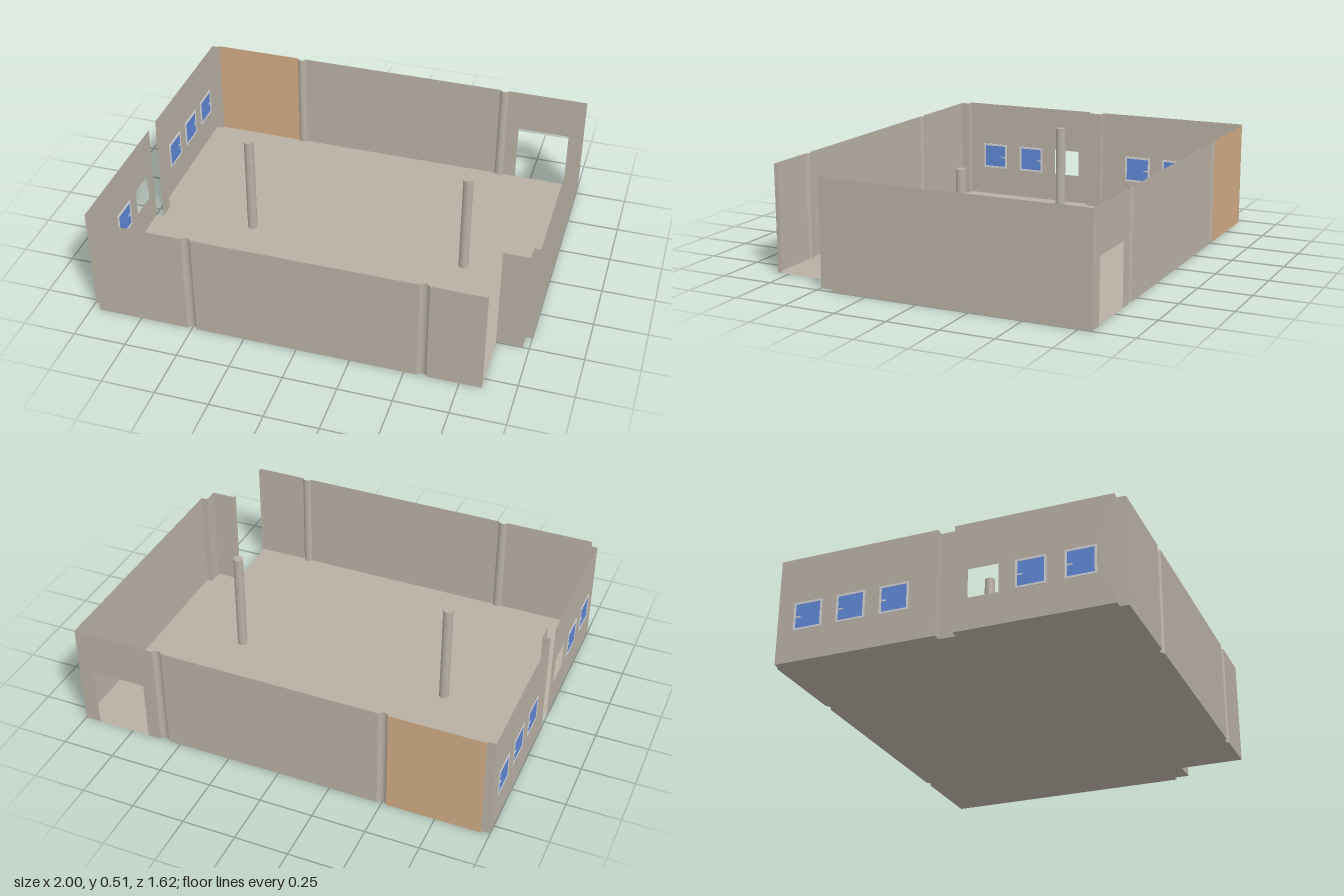
import * as THREE from 'three';

const H = 0.51, ZF = 0.81, XL = -0.997;       // wall height, front/back plane, left wall plane
const R = 0.024, HALF = 0.022, OFF = 0.0096;  // pilaster radius, half chord, centre offset
const COLS = [-0.5, 0.58];                    // column lines along x
const WIN = { y0: 0.15, y1: 0.285, w: 0.14 };

export function createModel() {
  const root = new THREE.Group();
  const plaster = new THREE.MeshStandardMaterial({ color: 0xb8b0a4, side: THREE.DoubleSide });
  plaster.name = 'plaster';
  const orange = new THREE.MeshStandardMaterial({ color: 0xd0ab84, side: THREE.DoubleSide });
  orange.name = 'accentOrange';
  const blue = new THREE.MeshStandardMaterial({ color: 0x5f87d6 });
  blue.name = 'glassBlue';
  const pale = new THREE.MeshStandardMaterial({ color: 0xd2d2d4 });
  pale.name = 'framePale';

  const add = (name, geo, mat, parent = root) => {
    const m = new THREE.Mesh(geo, mat);
    m.name = name;
    parent.add(m);
    return m;
  };

  const rect = (Type, x0, y0, x1, y1) =>
    new Type([[x0, y0], [x1, y0], [x1, y1], [x0, y1]].map(p => new THREE.Vector2(...p)));

  // Thin wall panel between two plan points; holes are [u0, y0, u1, y1]
  const wall = (name, [ax, az], [bx, bz], mat = plaster, holes = []) => {
    const s = rect(THREE.Shape, 0, 0, Math.hypot(bx - ax, bz - az), H);
    for (const h of holes) s.holes.push(rect(THREE.Path, ...h));
    const m = add(name, new THREE.ShapeGeometry(s), mat);
    m.position.set(ax, 0, az);
    m.rotation.y = Math.atan2(az - bz, bx - ax);
  };

  // Floor outline with rounded bites where the pilasters stand
  const ang = Math.asin(HALF / R);
  const bite = (x, s) => Array.from({ length: 9 }, (_, i) => {
    const t = ang * (i / 4 - 1);
    return [x - s * R * Math.sin(t), s * (ZF + OFF - R * Math.cos(t))];
  });
  const outline = [
    [-0.96, -ZF], ...bite(COLS[0], -1), ...bite(COLS[1], -1), [1, -ZF],
    [1, 0.425], [0.97, 0.425], [0.97, 0.497], [0.85, 0.497], [0.85, ZF],
    ...bite(COLS[1], 1), ...bite(COLS[0], 1), [-0.96, ZF],
    [-0.96, 0.77], [XL, 0.77], [XL, 0.05], [-0.96, 0.05],
    [-0.96, -0.03], [XL, -0.03], [XL, -0.8], [-0.96, -0.8],
  ];
  const floorGeo = new THREE.ShapeGeometry(
    new THREE.Shape(outline.map(([x, z]) => new THREE.Vector2(x, -z))));
  add('floor', floorGeo.rotateX(-Math.PI / 2), plaster);

  // Front and back walls, split by the pilasters
  const [c0, c1] = COLS;
  wall('frontWallRight', [-0.96, ZF], [c0 - HALF, ZF]);
  wall('frontWallMiddle', [c0 + HALF, ZF], [c1 - HALF, ZF]);
  wall('frontWallLeft', [c1 + HALF, ZF], [0.85, ZF]);
  wall('backWallAccent', [-0.96, -ZF], [c0 - HALF, -ZF], orange);
  wall('backWallMiddle', [c0 + HALF, -ZF], [c1 - HALF, -ZF]);
  const u = c1 + HALF;
  const s = new THREE.Shape([[0, 0], [0.667 - u, 0], [0.667 - u, 0.295], [0.925 - u, 0.295],
    [0.925 - u, 0], [1 - u, 0], [1 - u, H], [0, H]].map(p => new THREE.Vector2(...p)));
  add('backWallDoorway', new THREE.ShapeGeometry(s), plaster).position.set(u, 0, -ZF);

  // Pilasters bulging inward, and free columns
  for (const x of COLS) {
    for (const side of [1, -1]) {
      const g = new THREE.CylinderGeometry(R, R, H, 12, 1, true, (side > 0 ? Math.PI : 0) - ang, 2 * ang);
      add('pilaster', g, plaster).position.set(x, H / 2, side * (ZF + OFF));
    }
    add('column', new THREE.CylinderGeometry(R, R, H, 24), plaster).position.set(x, H / 2, 0);
  }

  // Closed side wall and the stepped entrance corner
  wall('sideWall', [1, -ZF], [1, 0.425]);
  wall('entranceStepOuter', [1, 0.425], [0.97, 0.425]);
  wall('entranceStepSide', [0.97, 0.425], [0.97, 0.497]);
  wall('entranceStepInner', [0.97, 0.497], [0.85, 0.497]);
  wall('entranceJambBack', [0.85, 0.497], [0.85, 0.517]);
  wall('entranceJambFront', [0.85, 0.79], [0.85, ZF]);

  // Window wall in two bays, with a recess between and notched corners
  const bays = [
    { z0: -0.8, z1: -0.03, wins: [-0.72, -0.51, -0.3] },
    { z0: 0.05, z1: 0.77, wins: [0.115, 0.33, 0.55] },
  ];
  for (const { z0, z1, wins } of bays) {
    wall('windowWall', [XL, z0], [XL, z1], plaster,
      wins.map(z => [z - z0, WIN.y0, z - z0 + WIN.w, WIN.y1]));
  }
  wall('recessSide', [XL, -0.03], [-0.96, -0.03]);
  wall('recessBack', [-0.96, -0.03], [-0.96, 0.05]);
  wall('backCornerFace', [XL, -0.8], [-0.96, -0.8]);
  wall('backCornerSide', [-0.96, -0.8], [-0.96, -ZF]);
  wall('frontCornerFace', [XL, 0.77], [-0.96, 0.77]);
  wall('frontCornerSide', [-0.96, 0.77], [-0.96, ZF]);

  // Windows: frame, glass and small handle; one opening stays empty
  const h = WIN.y1 - WIN.y0, e = 0.01;
  const frameShape = rect(THREE.Shape, -WIN.w / 2, -h / 2, WIN.w / 2, h / 2);
  frameShape.holes.push(rect(THREE.Path, -WIN.w / 2 + e, -h / 2 + e, WIN.w / 2 - e, h / 2 - e));
  const frameGeo = new THREE.ExtrudeGeometry(frameShape, { depth: 0.008, bevelEnabled: false });
  frameGeo.translate(0, 0, -0.004).rotateY(Math.PI / 2);
  for (const z of [-0.72, -0.51, -0.3, 0.33, 0.55]) {
    const win = new THREE.Group();
    win.name = 'window';
    win.position.set(-0.996, (WIN.y0 + WIN.y1) / 2, z + WIN.w / 2);
    add('windowFrame', frameGeo, pale, win);
    add('windowGlass', new THREE.BoxGeometry(0.004, h - 2 * e, WIN.w - 2 * e), blue, win);
    add('windowHandle', new THREE.BoxGeometry(0.008, 0.007, 0.024), pale, win)
      .position.set(0, -0.004, -WIN.w / 2 + 0.021);
    root.add(win);
  }
  return root;
}
